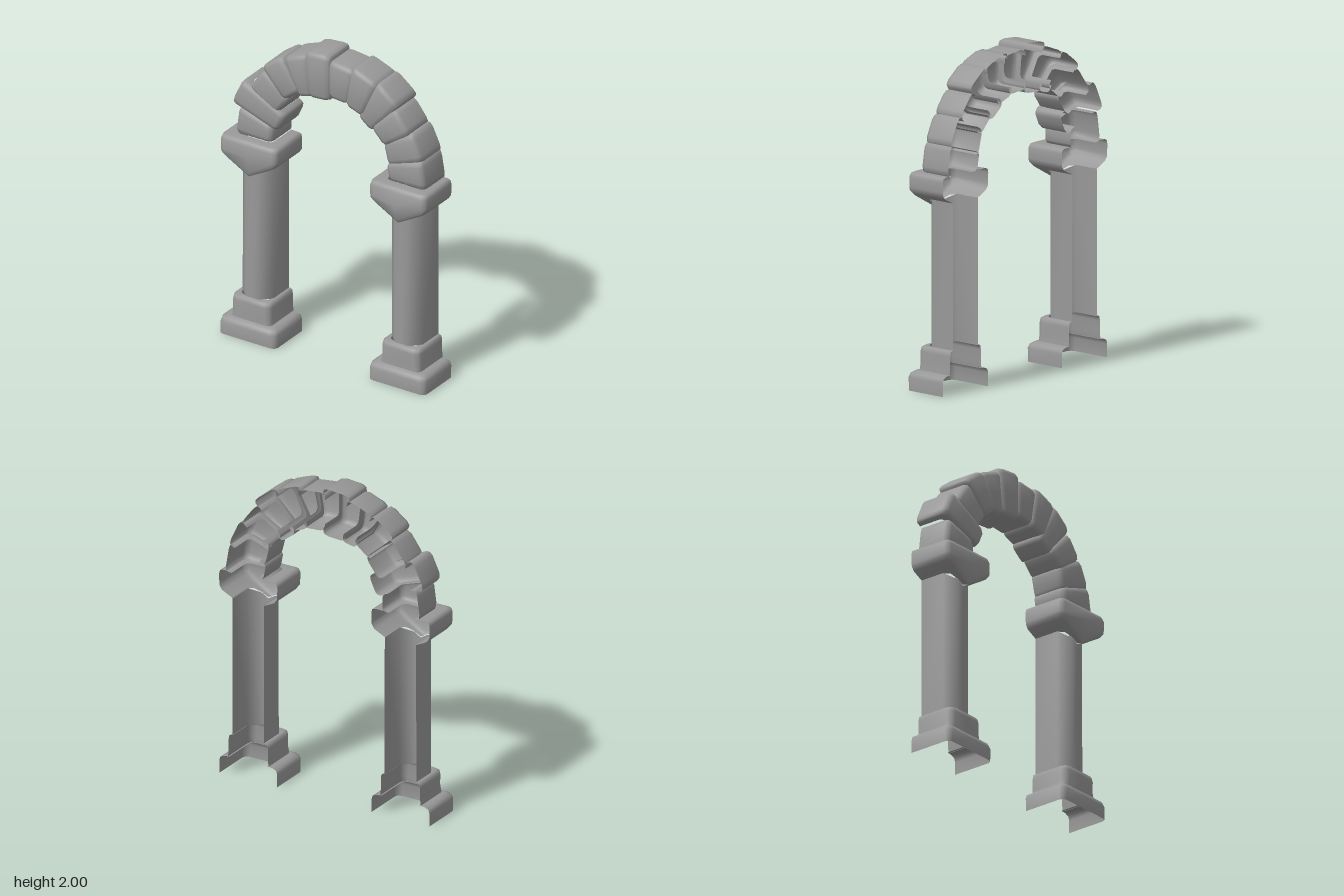
import * as THREE from 'three';
import { toCreasedNormals } from 'three/addons/utils/BufferGeometryUtils.js';

const BACK = -0.157; // open back plane of the whole half-shell
const material = new THREE.MeshStandardMaterial({ color: 0x999999, side: THREE.DoubleSide });

// Skin a list of equal-length cross-sections (arrays of Vector3)
function loft(rings, name) {
  const n = rings[0].length, index = [];
  for (let j = 0; j < rings.length - 1; j++) {
    for (let i = 0; i < n - 1; i++) {
      const a = j * n + i, b = a + 1, c = b + n, d = a + n;
      index.push(a, b, c, a, c, d);
    }
  }
  const geometry = new THREE.BufferGeometry().setFromPoints(rings.flat());
  geometry.setIndex(index);
  const mesh = new THREE.Mesh(toCreasedNormals(geometry, 1.1), material);
  mesh.name = name;
  return mesh;
}

// U-shaped section, open at the back: [across, z] from -hw round the front to +hw
function uPath(hw, front, r, peak = 0, steps = 2) {
  const half = [[-hw, BACK]];
  for (let k = 0; k <= steps; k++) {
    const a = (k / steps) * Math.PI / 2;
    half.push([-hw + r - r * Math.cos(a), front - r + r * Math.sin(a)]);
  }
  return [...half, [0, front + peak], ...half.map(([x, z]) => [-x, z]).reverse()];
}

// Upright part; level = [y, half width, front z, corner size, rise towards the sides, front peak]
function upright(name, levels, steps) {
  return loft(levels.map(([y, hw, front, r, rise = 0, peak = 0]) =>
    uPath(hw, front, r, peak, steps).map(([x, z]) =>
      new THREE.Vector3(x, y + rise * Math.abs(x) / 0.2, z))), name);
}

function createPillar(name, x, peak) {
  const pillar = new THREE.Group();
  pillar.name = name;
  pillar.position.x = x;
  pillar.add(
    upright('plinth', [
      [0, 0.198, 0.127, 0.03],
      [0.08, 0.199, 0.13, 0.035],
      [0.105, 0.192, 0.122, 0.035],
      [0.117, 0.165, 0.105, 0.035],
      [0.12, 0.13, 0.09, 0.03],
    ]),
    upright('plinthBlock', [
      [0.117, 0.14, 0.095, 0.03],
      [0.16, 0.135, 0.093, 0.035],
      [0.23, 0.135, 0.094, 0.035],
      [0.255, 0.131, 0.09, 0.035],
      [0.263, 0.118, 0.08, 0.04],
      [0.263, 0.107, 0.068, 0.065],
    ]),
    // Column with broad chamfered front corners
    upright('column', [
      [0.26, 0.109, 0.071, 0.065],
      [1.08, 0.108, 0.068, 0.062, 0.12],
    ], 1),
    upright('capital', [
      [1.09, 0.106, 0.066, 0.06, 0.1],
      [1.08, 0.18, 0.105, 0.03, 0.11],
      [1.105, 0.197, 0.12, 0.03, 0.1],
      [1.21, 0.199, 0.122, 0.03, 0.01, peak],
      [1.28, 0.2, 0.121, 0.03],
      [1.303, 0.194, 0.113, 0.03],
      [1.31, 0.175, 0.1, 0.03],
      [1.31, 0.122, 0.05, 0.03],
    ]),
  );
  return pillar;
}

// Arch stones, left foot to right foot: outer start, outer end, inner start, inner end (x, y each)
const STONES = [
  [-0.66, 1.31, -0.635, 1.49, -0.4, 1.31, -0.4, 1.41],
  [-0.685, 1.51, -0.61, 1.67, -0.36, 1.4, -0.31, 1.51],
  [-0.57, 1.63, -0.46, 1.78, -0.37, 1.51, -0.29, 1.62],
  [-0.475, 1.8, -0.34, 1.9, -0.31, 1.62, -0.21, 1.7],
  [-0.325, 1.9, -0.165, 1.96, -0.21, 1.67, -0.13, 1.69],
  [-0.17, 1.985, 0, 2.0, -0.14, 1.69, 0, 1.7],
  [0, 1.97, 0.175, 1.95, 0, 1.725, 0.13, 1.715],
  [0.165, 1.975, 0.335, 1.91, 0.12, 1.71, 0.23, 1.67],
  [0.34, 1.92, 0.48, 1.81, 0.2, 1.66, 0.29, 1.59],
  [0.465, 1.78, 0.565, 1.65, 0.295, 1.615, 0.385, 1.52],
  [0.58, 1.65, 0.655, 1.49, 0.375, 1.54, 0.41, 1.4],
  [0.65, 1.49, 0.68, 1.31, 0.4, 1.41, 0.42, 1.31],
];

// [position along the stone, inset]: soft shoulders and shallow turned-in ends
const STONE_PROFILE = [[-0.04, 0.045], [-0.03, 0.018], [0.03, 0.006], [0.2, 0], [0.5, 0],
  [0.8, 0], [0.97, 0.006], [1.03, 0.018], [1.04, 0.045]];

function createStone([ax, ay, bx, by, cx, cy, dx, dy], i) {
  const outerA = new THREE.Vector3(ax, ay), outerB = new THREE.Vector3(bx, by);
  const innerA = new THREE.Vector3(cx, cy), innerB = new THREE.Vector3(dx, dy);
  const front = 0.055 + 0.006 * (i % 2);
  const rings = STONE_PROFILE.map(([t, inset]) => {
    const outer = outerA.clone().lerp(outerB, t), inner = innerA.clone().lerp(innerB, t);
    const middle = outer.clone().add(inner).multiplyScalar(0.5);
    const half = outer.distanceTo(inner) / 2;
    const across = inner.sub(outer).normalize();
    return uPath(half - inset, front - inset, 0.03).map(([s, z]) =>
      middle.clone().addScaledVector(across, s).setZ(z));
  });
  return loft(rings, 'archStone' + (i + 1));
}

export function createModel() {
  const model = new THREE.Group();
  model.name = 'stoneArch';
  model.add(createPillar('leftPillar', 0.522, 0.034), createPillar('rightPillar', -0.525, 0.008));
  const arch = new THREE.Group();
  arch.name = 'arch';
  STONES.forEach((stone, i) => arch.add(createStone(stone, i)));
  model.add(arch);
  return model;
}
